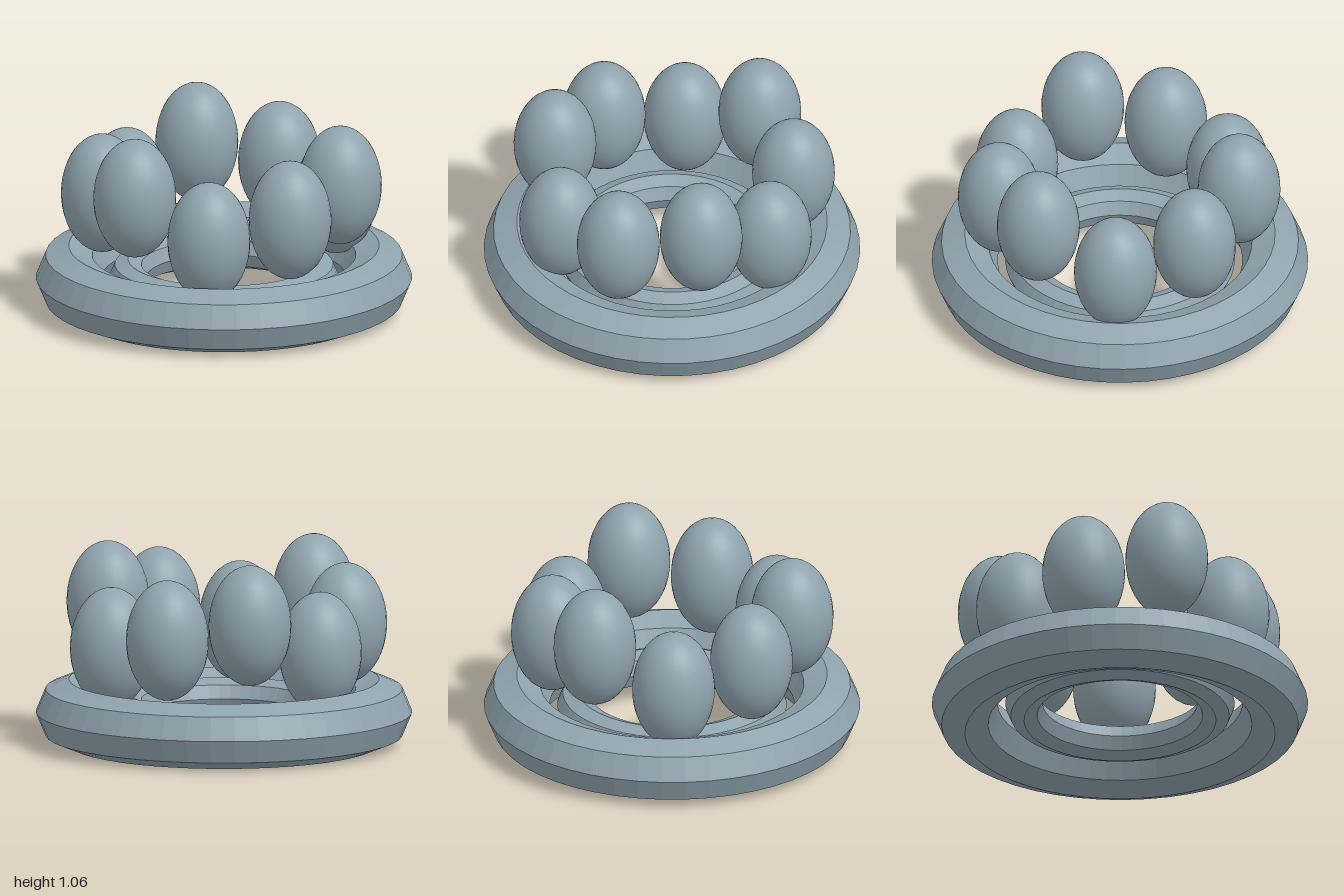
import * as THREE from 'three';

export function createModel() {
  const group = new THREE.Group();
  const greyBlue = new THREE.MeshStandardMaterial({ color: 0x90a4ae });
  greyBlue.name = 'greyBlue';
  // faceted rings share the colour
  const facetedGreyBlue = greyBlue.clone();
  facetedGreyBlue.name = 'facetedGreyBlue';
  facetedGreyBlue.flatShading = true;

  // Two concentric octagonal-section rings lying flat
  function addRing(name, radius, tube) {
    const geometry = new THREE.TorusGeometry(radius, tube, 8, 48).rotateX(-Math.PI / 2);
    const ring = new THREE.Mesh(geometry, facetedGreyBlue);
    ring.name = name;
    ring.position.y = 0.175;
    group.add(ring);
  }
  addRing('outerRing', 0.825, 0.175);
  addRing('innerRing', 0.51, 0.1);

  // Nine upright eggs around the ring, at three repeating heights
  const eggGeometry = new THREE.SphereGeometry(0.22, 32, 24).scale(1, 0.322 / 0.22, 1);
  const heights = [0.74, 0.65, 0.56];
  for (let i = 0; i < 9; i++) {
    const angle = THREE.MathUtils.degToRad(40 * i - 1.5);
    const egg = new THREE.Mesh(eggGeometry, greyBlue);
    egg.name = `egg${i + 1}`;
    egg.position.set(0.647 * Math.sin(angle), heights[i % 3], -0.647 * Math.cos(angle));
    group.add(egg);
  }
  return group;
}
